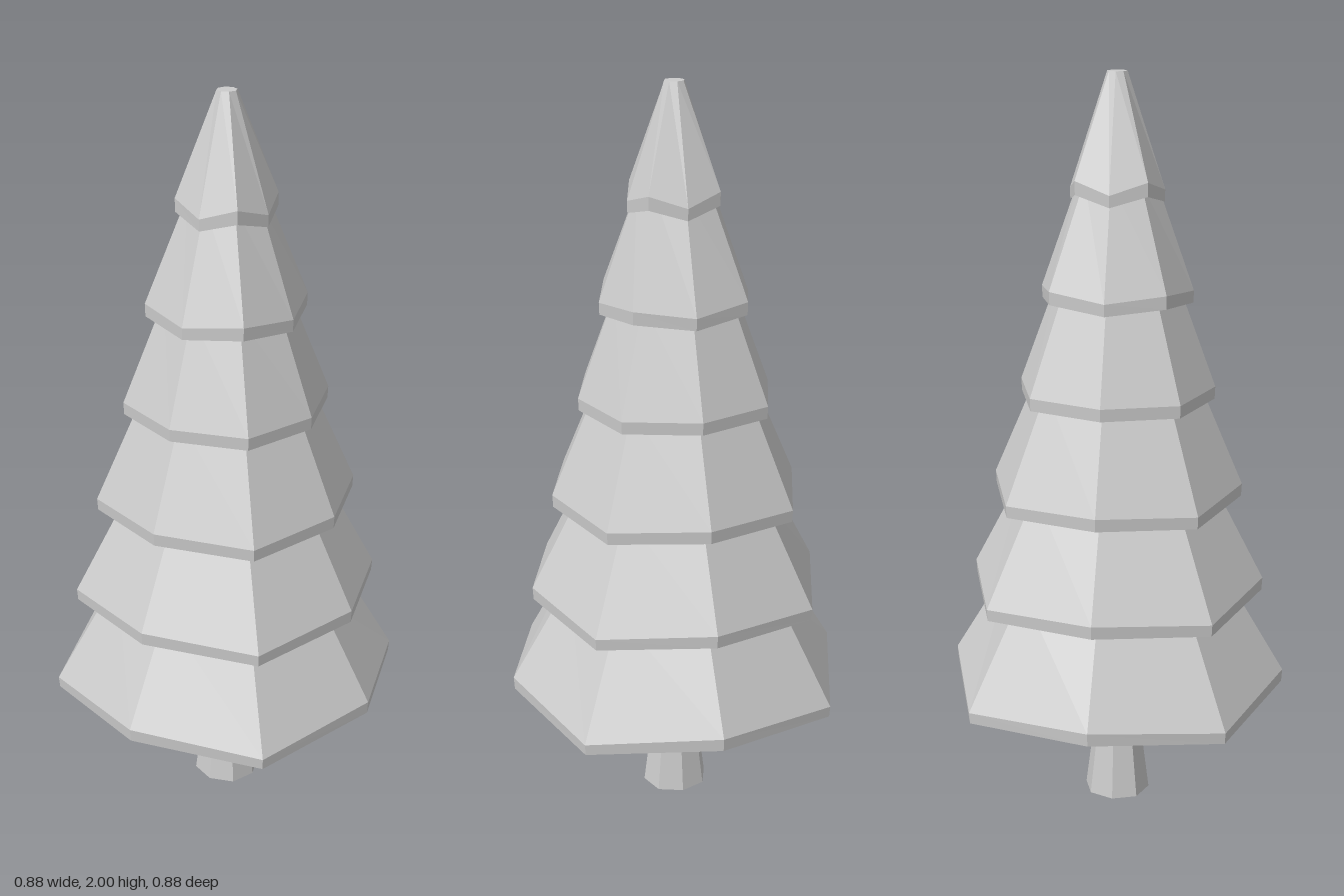
import * as THREE from 'three';

const SIDES = 8;
const START = THREE.MathUtils.degToRad(17.9);

// Faceted octagonal shell from rings [radius, y, cornerScale, cornerDrop];
// every second corner is pushed outwards and the corners zigzag in height.
function ringShell(rings, name) {
  const points = rings.map(([r, y]) => new THREE.Vector2(r, y));
  const lathe = new THREE.LatheGeometry(points, SIDES, START);
  const pos = lathe.attributes.position;
  for (let i = 0; i < pos.count; i++) {
    const [, y, scale = 1, drop = 0] = rings[i % rings.length];
    const odd = Math.floor(i / rings.length) % 2 === 1;
    const s = odd ? scale : 1;
    pos.setXYZ(i, pos.getX(i) * s, y + (odd ? -drop : drop), pos.getZ(i) * s);
  }
  const geometry = lathe.toNonIndexed();
  geometry.computeVertexNormals();
  const material = new THREE.MeshStandardMaterial({ color: 0xcccccc, flatShading: true });
  const mesh = new THREE.Mesh(geometry, material);
  mesh.name = name;
  return mesh;
}

// Tiers from the bottom up: rim radius, rim height, underside radius, corner scale, corner drop
const TIERS = [
  [0.46, 0.381, 0.335, 1.045, 0.015],
  [0.398, 0.655, 0.295, 1.05, 0.009],
  [0.336, 0.925, 0.253, 1.05, 0.005],
  [0.26, 1.195, 0.215, 1.055, 0],
  [0.2, 1.457, 0.157, 1.06, -0.008],
  [0.123, 1.722, 0.097, 1.068, -0.015],
];
const RIM = 0.033;

export function createModel() {
  const tree = new THREE.Group();
  tree.name = 'pineTree';

  // Flared trunk
  tree.add(ringShell([
    [0, 0], [0.09, 0, 1.03], [0.06, 0.24, 1.03], [0.075, 0.4, 1.03],
  ], 'trunk'));

  // Foliage: each tier runs from a recessed underside over a thin rim up to the next tier
  const rings = [[0, 0.4]];
  for (const [r, y, inner, scale, drop] of TIERS) {
    rings.push([inner, y + 0.015, 1.04]);
    rings.push([r * 0.995, y - RIM, scale, drop * 0.85]);
    rings.push([r, y, scale, drop]);
  }
  rings.push([0.026, 2], [0, 2]);
  tree.add(ringShell(rings, 'foliage'));

  return tree;
}
